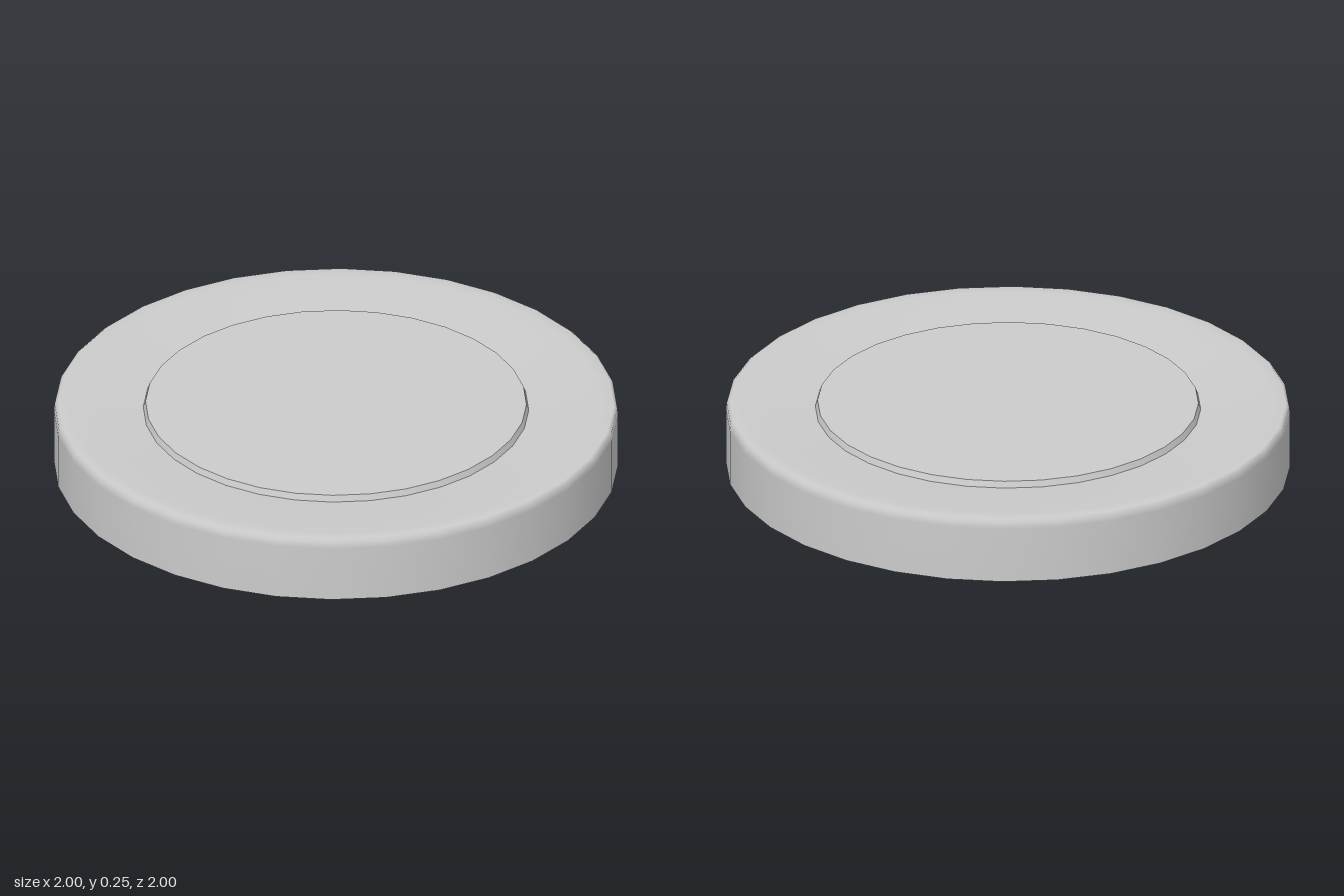
import * as THREE from 'three';

const SIDES = 32;
const HEIGHT = 0.245;

export function createModel() {
  const model = new THREE.Group();
  const material = new THREE.MeshStandardMaterial({ color: 0xcccccc });

  // Each profile runs [radius, y], smooth within itself and sharp where it meets the next
  const turn = (name, profile) => {
    const points = profile.map(([r, y]) => new THREE.Vector2(r, y));
    const mesh = new THREE.Mesh(new THREE.LatheGeometry(points, SIDES), material);
    mesh.name = name;
    model.add(mesh);
  };

  // Underside: flat centre pad and a ring that dips towards it
  turn('bottomPad', [[0, 0], [0.675, 0]]);
  turn('bottomPadEdge', [[0.675, 0], [0.683, 0.022]]);
  turn('bottomRing', [[0.683, 0.022], [0.84, 0.009], [0.96, 0.003], [1, 0.003]]);

  // Outer wall rolling softly over into the dished top ring
  turn('rimAndTopRing', [
    [1, 0.003], [1, 0.208], [0.997, 0.232], [0.985, 0.242],
    [0.94, 0.241], [0.84, 0.235], [0.683, 0.222],
  ]);

  // Raised centre pad on top
  turn('topPadEdge', [[0.683, 0.222], [0.675, HEIGHT]]);
  turn('topPad', [[0.675, HEIGHT], [0, HEIGHT]]);

  return model;
}
